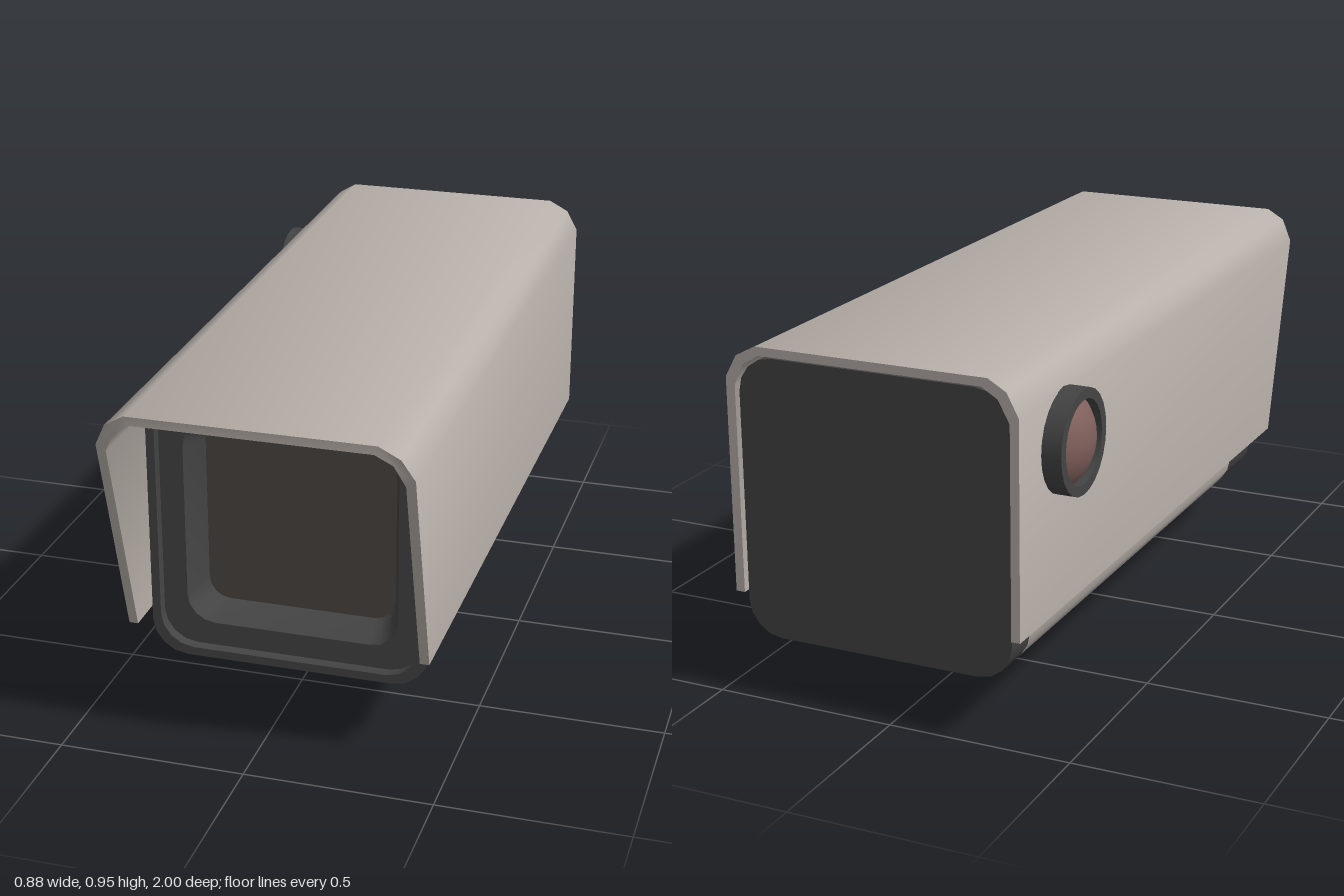
import * as THREE from 'three';
import { toCreasedNormals } from 'three/addons/utils/BufferGeometryUtils.js';

const CX = 0.04, CY = 0.547; // axis of the housing

const mat = (color) => new THREE.MeshStandardMaterial({ color });
const shellMat = mat(0xb8b0aa);
const darkMat = mat(0x444444);
const glassMat = mat(0x4b4542);
const lensMat = mat(0x80605c);

function part(name, geometry, material, parent) {
  const mesh = new THREE.Mesh(geometry, material);
  mesh.name = name;
  parent.add(mesh);
  return mesh;
}

// Square with rounded corners, centred on the origin
function roundedSquare(half, r) {
  const s = new THREE.Shape();
  const k = half - r;
  s.absarc(k, k, r, 0, Math.PI / 2);
  s.absarc(-k, k, r, Math.PI / 2, Math.PI);
  s.absarc(-k, -k, r, Math.PI, Math.PI * 1.5);
  s.absarc(k, -k, r, Math.PI * 1.5, Math.PI * 2);
  return s;
}

// Skin through rounded squares given as [half, radius, z]
function loft(sections) {
  const loops = sections.map(([half, r, z]) =>
    roundedSquare(half, r).getPoints(2).map((p) => [p.x, p.y, z]));
  const pos = [];
  for (let i = 0; i + 1 < loops.length; i++) {
    const n = loops[i].length;
    for (let j = 0; j < n; j++) {
      const k = (j + 1) % n;
      const a = loops[i][j], b = loops[i][k], c = loops[i + 1][k], d = loops[i + 1][j];
      pos.push(...a, ...b, ...c, ...a, ...c, ...d);
    }
  }
  const g = new THREE.BufferGeometry();
  g.setAttribute('position', new THREE.Float32BufferAttribute(pos, 3));
  return toCreasedNormals(g, 0.9);
}

// Bent sheet cover, its front edge raked back towards the bottom
function hoodGeometry() {
  const outer = [[-0.367, 0.292], [-0.367, 0.865], [-0.335, 0.926], [-0.285, 0.955],
    [0.352, 0.955], [0.408, 0.926], [0.44, 0.868], [0.44, 0.292]];
  const inner = [[0.415, 0.292], [0.415, 0.848], [0.388, 0.906], [0.343, 0.932],
    [-0.268, 0.932], [-0.312, 0.906], [-0.343, 0.848], [-0.343, 0.292]];
  const shape = new THREE.Shape([...outer, ...inner].map(([x, y]) => new THREE.Vector2(x, y)));
  const g = new THREE.ExtrudeGeometry(shape, { depth: 2, bevelEnabled: false });
  g.translate(0, 0, -1);
  const p = g.attributes.position;
  for (let i = 0; i < p.count; i++) {
    if (p.getZ(i) > 0) p.setZ(i, 1 - Math.max(0, 0.93 - p.getY(i)) * 0.275);
  }
  return toCreasedNormals(g, 0.9);
}

// Half ring hanging under the housing
function loopGeometry() {
  const s = new THREE.Shape();
  s.absarc(0, 0, 0.22, Math.PI, Math.PI * 2, false);
  s.absarc(0, 0, 0.157, Math.PI * 2, Math.PI, true);
  const g = new THREE.ExtrudeGeometry(s, { depth: 0.08, bevelEnabled: false, curveSegments: 16 });
  g.translate(0, 0, -0.04);
  g.rotateY(Math.PI / 2);
  return toCreasedNormals(g, 0.6);
}

export function createModel() {
  const model = new THREE.Group();
  model.name = 'securityCamera';

  part('hood', hoodGeometry(), shellMat, model);

  // Housing: light sleeve between two dark end caps
  const housing = new THREE.Group();
  housing.name = 'housing';
  housing.position.set(CX, CY, 0);
  model.add(housing);
  part('sleeve', loft([[0.375, 0.095, -0.875], [0.375, 0.095, 0.565]]), shellMat, housing);
  part('rearCap', loft([[0.375, 0.095, -0.98], [0.375, 0.095, -0.875]]), darkMat, housing);
  const plate = part('rearPlate', new THREE.ShapeGeometry(roundedSquare(0.375, 0.095), 2), darkMat, housing);
  plate.position.z = -0.98;
  plate.rotation.y = Math.PI;

  // Front cap: rim, stepped frame and tapered window recess
  part('frontCap', loft([
    [0.375, 0.095, 0.565], [0.375, 0.095, 0.74], [0.352, 0.09, 0.74],
    [0.352, 0.09, 0.71], [0.287, 0.075, 0.71], [0.257, 0.058, 0.62],
  ]), darkMat, housing);
  const glass = part('frontGlass', new THREE.ShapeGeometry(roundedSquare(0.257, 0.058), 2), glassMat, housing);
  glass.position.z = 0.62;

  // Round sensor on the right side, near the back
  const sensor = new THREE.Group();
  sensor.name = 'sideSensor';
  sensor.position.set(-0.335, 0.735, -0.74);
  sensor.rotation.z = Math.PI / 2;
  model.add(sensor);
  const profile = [[0.137, -0.01], [0.137, 0.085], [0.11, 0.085], [0.11, 0.055]]
    .map(([r, y]) => new THREE.Vector2(r, y));
  part('sensorRing', toCreasedNormals(new THREE.LatheGeometry(profile, 24), 0.6), darkMat, sensor);
  const dome = part('sensorLens',
    new THREE.SphereGeometry(0.157, 24, 8, 0, Math.PI * 2, 0, 0.776), lensMat, sensor);
  dome.position.y = -0.052;

  // Pair of mounting loops
  for (const x of [-0.023, 0.107]) {
    part('mountLoop', loopGeometry(), shellMat, model).position.set(x, 0.22, -0.21);
  }

  return model;
}
